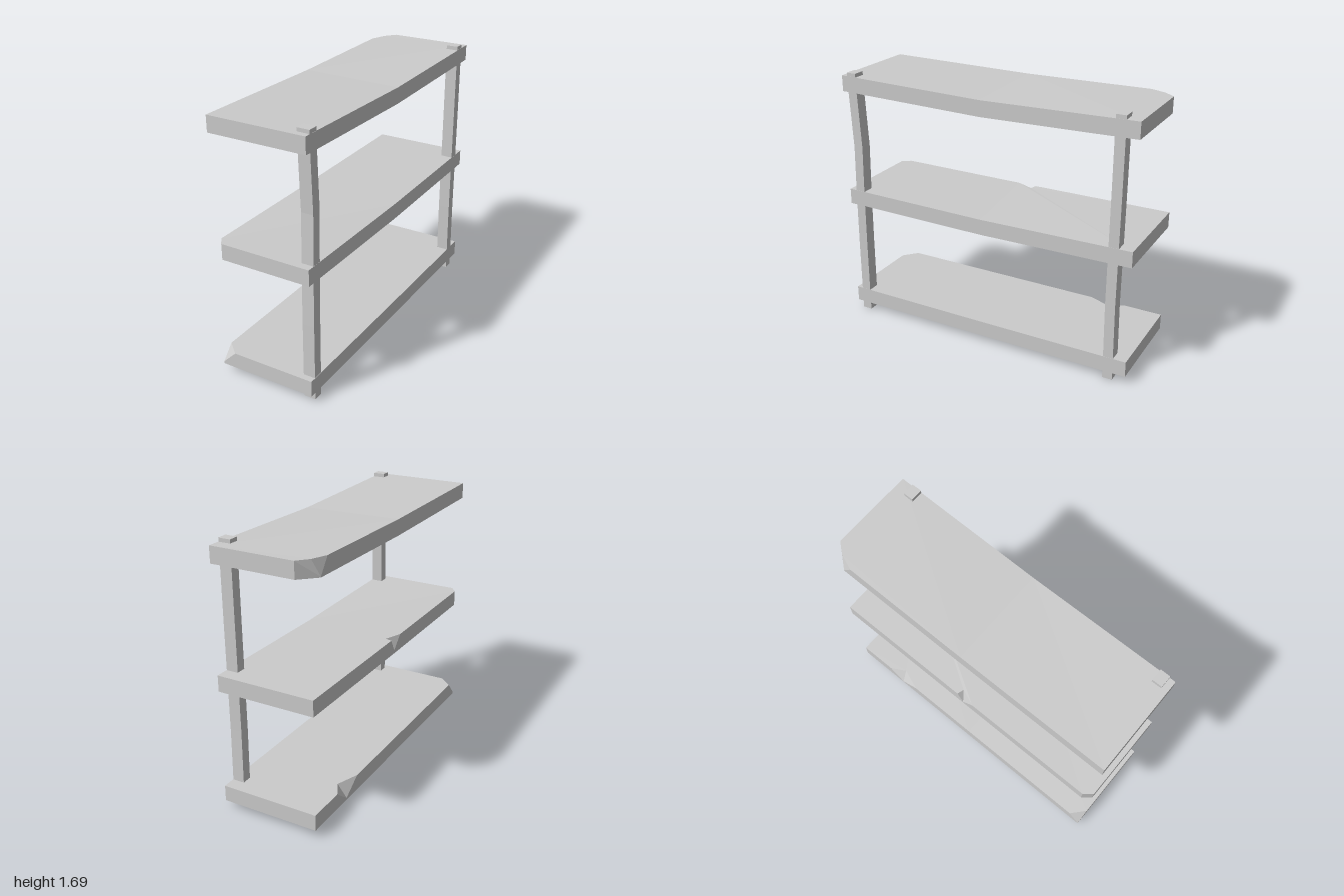
import * as THREE from 'three';

const material = new THREE.MeshStandardMaterial({ color: 0xcccccc, flatShading: true });
const X = 0.32, T = 0.103;

// A plank from three outlines (top, chip depth, underside).
// Each point is [x, z] or, where the top is chipped, [topX, topZ, lowX, lowZ].
// The outline starts mid-length at +x; `split` is the matching point at -x, where the plank bends.
function plank(name, { y, chip, sag, split, outline }) {
  const place = (x, z, drop) => {
    const across = (x + X) / (2 * X);
    const dip = THREE.MathUtils.lerp(sag[0], sag[1], across) * (1 - Math.abs(z));
    return new THREE.Vector3(x, y - drop - dip, z);
  };
  const top = outline.map(([x, z]) => place(x, z, 0));
  const low = (drop) => outline.map(([x, z, lx = x, lz = z]) => place(lx, lz, drop));
  const rows = [top, low(chip), low(T)];
  const n = outline.length;
  const tris = [];

  // sides, with the diagonals following the chipped facets
  for (let r = 0; r < 2; r++) {
    for (let i = 0; i < n; i++) {
      const j = (i + 1) % n;
      const a = rows[r][i], b = rows[r][j], c = rows[r + 1][j], d = rows[r + 1][i];
      if (r === 0 && outline[i].length === 4) tris.push(a, b, d, b, c, d);
      else tris.push(a, b, c, a, c, d);
    }
  }

  // top and underside, each in two halves along the bend
  for (const [row, up] of [[rows[0], 1], [rows[2], -1]]) {
    const halves = [row.slice(0, split + 1), [...row.slice(split), row[0]]];
    for (const half of halves) {
      const flat = half.map((p) => new THREE.Vector2(p.x, p.z));
      for (const f of THREE.ShapeUtils.triangulateShape(flat, [])) {
        const [a, b, c] = f.map((k) => half[k]);
        const ny = (b.z - a.z) * (c.x - a.x) - (b.x - a.x) * (c.z - a.z);
        if (ny * up > 0) tris.push(a, b, c);
        else tris.push(a, c, b);
      }
    }
  }

  const geometry = new THREE.BufferGeometry().setFromPoints(tris);
  geometry.computeVertexNormals();
  const mesh = new THREE.Mesh(geometry, material);
  mesh.name = name;
  return mesh;
}

// A square post whose rings shift a little in z: levels of [y, shift]
function post(name, z, levels) {
  const geometry = new THREE.BoxGeometry(0.078, 1, 0.064, 1, levels.length - 1, 1);
  const pos = geometry.attributes.position;
  for (let i = 0; i < pos.count; i++) {
    const [y, shift] = levels[Math.round((pos.getY(i) + 0.5) * (levels.length - 1))];
    pos.setXYZ(i, pos.getX(i), y, pos.getZ(i) + shift);
  }
  geometry.computeVertexNormals();
  const mesh = new THREE.Mesh(geometry, material);
  mesh.name = name;
  mesh.position.set(0.28, 0, z);
  return mesh;
}

export function createModel() {
  const group = new THREE.Group();
  group.name = 'shelfUnit';

  // bottom shelf: broken front corner and a notch in the open edge
  group.add(plank('bottomShelf', {
    y: 0.151, chip: 0.09, sag: [0, 0.002], split: 4,
    outline: [
      [X, 0], [X, 1],
      [-0.23, 1, -X, 1], [-X, 0.92],
      [-X, 0],
      [-X, -0.505], [-0.265, -0.65, -X, -0.637], [-X, -0.75],
      [-X, -1], [X, -1],
    ],
  }));

  // middle shelf: clipped front corner and a notch halfway
  group.add(plank('middleShelf', {
    y: 0.892, chip: 0.083, sag: [0.004, 0.013], split: 4,
    outline: [
      [X, 0], [X, 1],
      [-0.277, 1], [-X, 0.945],
      [-X, 0.06], [-0.275, -0.05, -X, -0.02], [-X, -0.064],
      [-X, -1], [X, -1],
    ],
  }));

  // top shelf: sagging, with a broken back corner
  group.add(plank('topShelf', {
    y: 1.668, chip: 0.098, sag: [0.012, 0.022], split: 3,
    outline: [
      [X, 0], [X, 1], [-X, 1],
      [-X, 0],
      [-X, -0.83], [-0.28, -0.93, -X, -0.9], [-0.222, -1],
      [X, -1],
    ],
  }));

  // two slightly crooked posts
  group.add(post('frontPost', 0.928,
    [[0, 0], [0.1, 0], [0.5, -0.003], [0.84, -0.008], [1.2, -0.018], [1.61, 0], [1.69, 0]]));
  group.add(post('backPost', -0.885,
    [[0, 0], [0.1, 0], [0.5, 0.005], [0.84, 0.003], [1.2, 0.001], [1.61, 0], [1.69, 0]]));
  return group;
}
